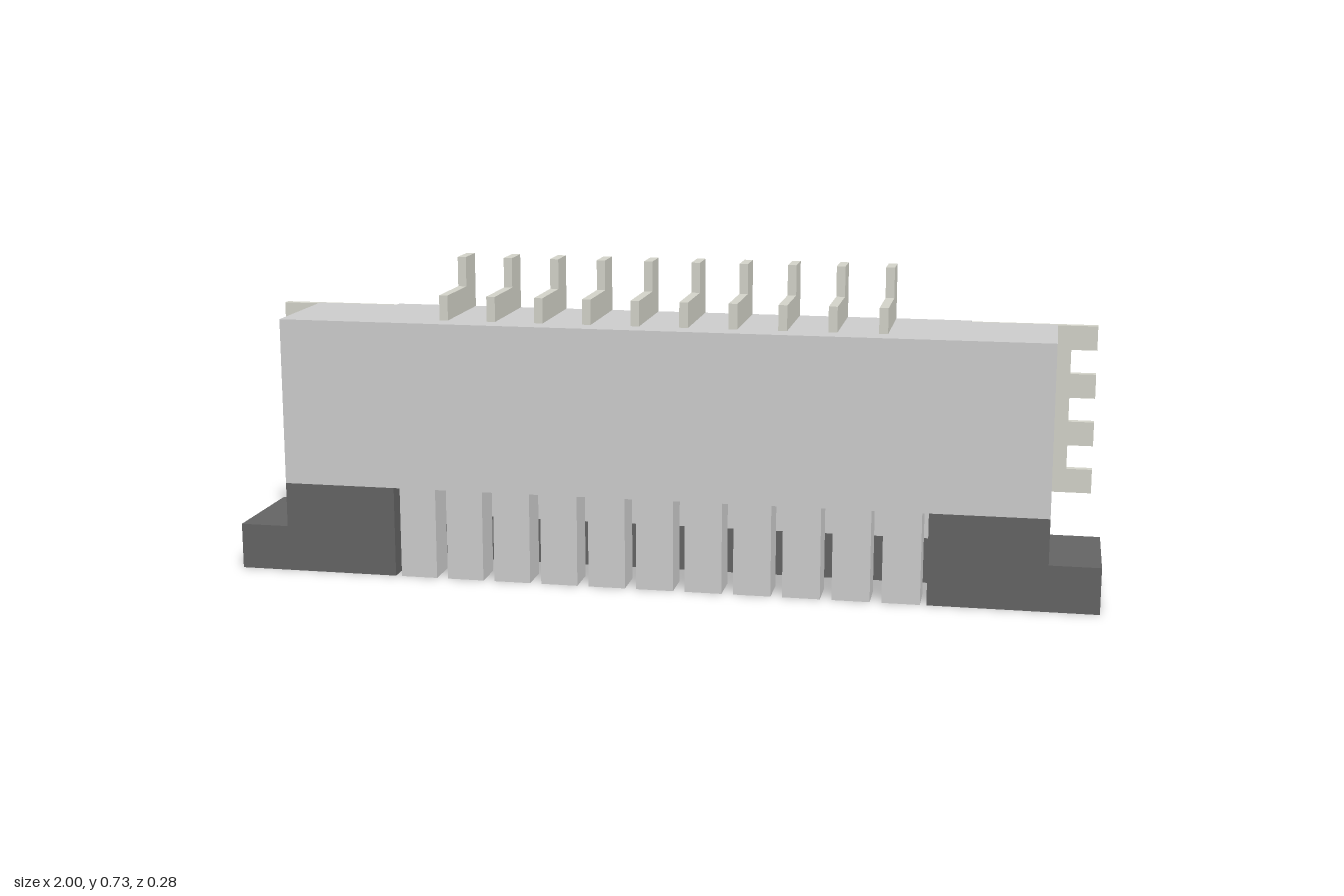
import * as THREE from 'three';

const material = (color) => new THREE.MeshStandardMaterial({ color, flatShading: true });
const housingMat = material(0xccccc8);
const metalMat = material(0xd2d2c8);
const sliderMat = material(0x636363);

const FRONT = 0.143, BACK = -0.142, REAR = -0.122, PITCH = 0.1125;

export function createModel() {
  const model = new THREE.Group();

  const add = (parent, name, geometry, mat) => {
    const mesh = new THREE.Mesh(geometry, mat);
    mesh.name = name;
    parent.add(mesh);
    return mesh;
  };
  // box given by its extents
  const box = (parent, name, mat, x0, x1, y0, y1, z0, z1) => {
    const g = new THREE.BoxGeometry(x1 - x0, y1 - y0, z1 - z0);
    g.translate((x0 + x1) / 2, (y0 + y1) / 2, (z0 + z1) / 2);
    return add(parent, name, g, mat);
  };
  // outline in the xy plane, extruded from z0 to z1
  const slab = (points, z0, z1) => {
    const shape = new THREE.Shape(points.map(([x, y]) => new THREE.Vector2(x, y)));
    return new THREE.ExtrudeGeometry(shape, { depth: z1 - z0, bevelEnabled: false }).translate(0, 0, z0);
  };

  // Housing: main block, rear wall reaching lower in the middle
  const housing = new THREE.Group();
  housing.name = 'housing';
  model.add(housing);
  box(housing, 'housingBlock', housingMat, -0.885, 0.885, 0.212, 0.602, REAR, FRONT);
  add(housing, 'rearWall', slab([
    [-0.69, 0.602], [-0.69, 0.212], [-0.62, 0.212], [-0.62, 0.107],
    [0.62, 0.107], [0.62, 0.212], [0.69, 0.212], [0.69, 0.602],
  ], BACK, REAR), housingMat);
  box(housing, 'lowerWall', housingMat, -0.62, 0.62, 0.107, 0.212, REAR, -0.035);

  // Row of fingers under the front of the housing
  for (let i = -5; i <= 5; i++) {
    const x = i * PITCH;
    box(housing, 'finger', housingMat, x - 0.043, x + 0.043, 0, 0.212, 0.06, FRONT);
  }

  // Slider: low rear bar joining two stepped end blocks
  const slider = new THREE.Group();
  slider.name = 'slider';
  model.add(slider);
  box(slider, 'sliderBar', sliderMat, -0.62, 0.62, 0, 0.107, REAR, -0.035);
  for (const s of [1, -1]) {
    const outline = [[0.62, 0], [1, 0], [1, 0.107], [0.885, 0.107], [0.885, 0.212], [0.62, 0.212]];
    add(slider, 'sliderEnd', slab(outline.map(([x, y]) => [s * x, y]), REAR, FRONT), sliderMat);
  }

  // Solder tabs: thin plates with four teeth on the outer edge
  const tabOutline = [[0.69, 0.6], [0.69, 0.21]];
  const toothHeight = 0.39 / 7;
  for (let i = 0; i < 4; i++) {
    const y = 0.21 + i * 2 * toothHeight;
    if (i > 0) tabOutline.push([0.917, y]);
    tabOutline.push([0.975, y], [0.975, y + toothHeight]);
    if (i < 3) tabOutline.push([0.917, y + toothHeight]);
  }
  for (const s of [1, -1]) {
    add(model, 'solderTab', slab(tabOutline.map(([x, y]) => [s * x, y]), BACK, REAR), metalMat);
  }

  // Contact pins: stepped blades on top, profile drawn in (-z, y)
  const pinGeometry = slab([
    [-0.087, 0.602], [-BACK, 0.602], [-BACK, 0.73], [0.066, 0.73], [0.066, 0.66], [-0.087, 0.66],
  ], -0.01, 0.01).rotateY(Math.PI / 2);
  for (let i = 0; i < 10; i++) {
    add(model, 'contactPin', pinGeometry, metalMat).position.x = (i - 4.5) * PITCH;
  }

  return model;
}
